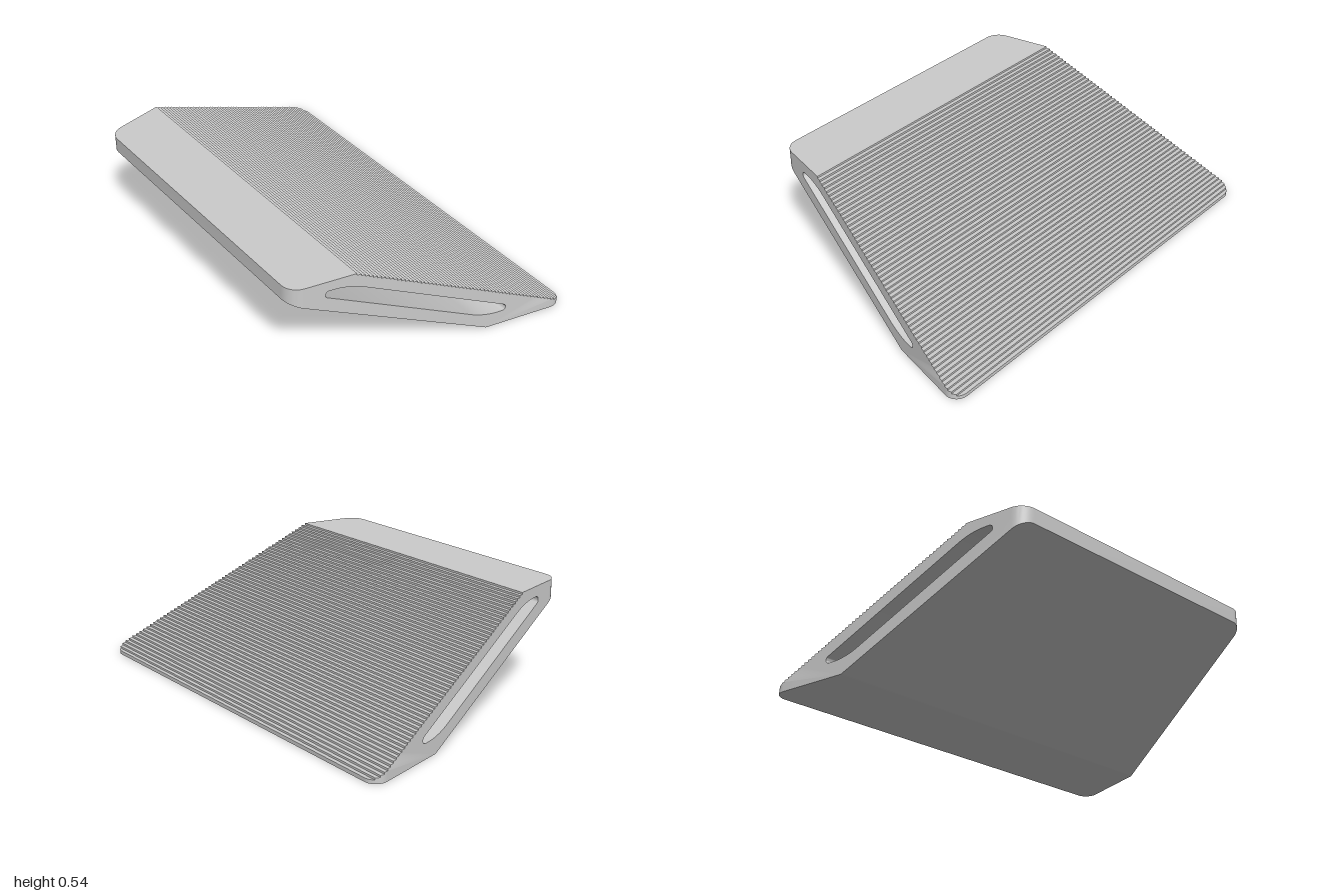
import * as THREE from 'three';
import { toCreasedNormals } from 'three/addons/utils/BufferGeometryUtils.js';

const DEPTH = 0.664, TOP = 0.54, FRONT_BOTTOM = 0.465, FOOT = -0.264; // half depth, heights, rear foot edge
const STEPS = 56, STEP_START = 0.372, LAST = 0.018;
const RUN = (STEP_START + DEPTH) / STEPS, RISE = (TOP - LAST) / STEPS;

// Plan outline: tapering sides with rounded corners
const TAPER = 0.225, WIDTH = 0.866, N = Math.hypot(1, TAPER);
const corner = (r, sign) => {
  const cz = sign * (DEPTH - r);
  return { r, sign, cz, cx: WIDTH - TAPER * cz - r * N, tangent: cz + r * TAPER / N };
};
const frontCorner = corner(0.08, 1), backCorner = corner(0.057, -1);
function halfWidth(z) {
  for (const c of [frontCorner, backCorner]) {
    if ((z - c.tangent) * c.sign > 0) return c.cx + Math.sqrt(Math.max(0, c.r ** 2 - (z - c.cz) ** 2));
  }
  return WIDTH - TAPER * z;
}
function cornerCuts(c, n = 10) {
  const start = Math.asin(TAPER / N), end = c.sign * Math.PI / 2;
  return Array.from({ length: n + 1 }, (_, i) => c.cz + c.r * Math.sin(start + (end - start) * i / n));
}

// Side profile: sloping underside and stepped top
const bottomAt = z => Math.max(0, FRONT_BOTTOM * (z - FOOT) / (DEPTH - FOOT));
const topAt = z => z > STEP_START ? TOP : TOP - RISE * (Math.floor((STEP_START - z) / RUN) + 1);

// Slot outline as (-z, y): a parallelogram with circular fillets
function slotOutline() {
  const c = [[-0.568, 0.073 + 0.417], [-0.249 + 0.498, 0.073], [0.412, 0.073], [-0.405, 0.49]];
  c[0] = [-0.568, 0.49];
  const p = c.map(([u, v]) => new THREE.Vector2(u, v));
  const points = [];
  p.forEach((v, i) => {
    const d0 = p[(i + 3) % 4].clone().sub(v).normalize();
    const d1 = p[(i + 1) % 4].clone().sub(v).normalize();
    const w = Math.sin(Math.acos(d0.dot(d1)) / 2);
    const a = v.clone().addScaledVector(d0, 0.075), b = v.clone().addScaledVector(d1, 0.075);
    for (let k = 0; k <= 12; k++) {
      const s = k / 12, ka = (1 - s) ** 2, kv = 2 * w * s * (1 - s), kb = s * s;
      points.push(a.clone().multiplyScalar(ka).addScaledVector(v, kv).addScaledVector(b, kb).divideScalar(ka + kv + kb));
    }
  });
  return points;
}

function makeMesh(name, build) {
  const pos = [];
  const tri = (...pts) => pts.forEach(p => pos.push(...p));
  const quad = (a, b, c, d) => { tri(a, b, c); tri(a, c, d); };
  build(tri, quad);
  const g = new THREE.BufferGeometry();
  g.setAttribute('position', new THREE.Float32BufferAttribute(pos, 3));
  const mesh = new THREE.Mesh(toCreasedNormals(g, 0.6), new THREE.MeshStandardMaterial({ color: 0xcccccc }));
  mesh.name = name;
  return mesh;
}

export function createModel() {
  const group = new THREE.Group();
  group.name = 'steppedRamp';

  // Columns from front to back, cut at every step, fold and corner facet
  const cuts = [...cornerCuts(frontCorner), ...cornerCuts(backCorner), FOOT];
  for (let i = 0; i < STEPS; i++) cuts.push(STEP_START - i * RUN);
  cuts.sort((a, b) => b - a);
  const zs = cuts.filter((z, i) => i === 0 || cuts[i - 1] - z > 1e-5);
  const columns = zs.slice(1).map((z1, i) => ({ z0: zs[i], z1, y: topAt((zs[i] + z1) / 2) }));
  const isMiddle = c => c.z0 < frontCorner.tangent + 1e-5 && c.z1 > backCorner.tangent - 1e-5;
  const slot = slotOutline();

  // Stepped top deck, with risers
  group.add(makeMesh('steppedTop', (tri, quad) => {
    columns.forEach(({ z0, z1, y }, i) => {
      const w0 = halfWidth(z0), w1 = halfWidth(z1);
      quad([-w0, y, z0], [w0, y, z0], [w1, y, z1], [-w1, y, z1]);
      const low = i + 1 < columns.length ? columns[i + 1].y : 0;
      if (y - low > 1e-5) quad([w1, low, z1], [-w1, low, z1], [-w1, y, z1], [w1, y, z1]);
    });
  }));

  // Sloping underside and flat foot
  group.add(makeMesh('underside', (tri, quad) => {
    for (const { z0, z1 } of columns) {
      const w0 = halfWidth(z0), w1 = halfWidth(z1), b0 = bottomAt(z0), b1 = bottomAt(z1);
      quad([-w1, b1, z1], [w1, b1, z1], [w0, b0, z0], [-w0, b0, z0]);
    }
  }));

  // Front lip, rounded corners and slotted side walls
  group.add(makeMesh('walls', (tri, quad) => {
    const w = halfWidth(DEPTH);
    quad([-w, FRONT_BOTTOM, DEPTH], [w, FRONT_BOTTOM, DEPTH], [w, TOP, DEPTH], [-w, TOP, DEPTH]);
    for (const { z0, z1, y } of columns.filter(c => !isMiddle(c))) {
      const w0 = halfWidth(z0), w1 = halfWidth(z1), b0 = bottomAt(z0), b1 = bottomAt(z1);
      quad([w0, b0, z0], [w1, b1, z1], [w1, y, z1], [w0, y, z0]);
      quad([-w0, y, z0], [-w1, y, z1], [-w1, b1, z1], [-w0, b0, z0]);
    }
    const middle = columns.filter(isMiddle);
    const zf = middle[0].z0, zb = middle[middle.length - 1].z1;
    const outline = [[zf, bottomAt(zf)], [FOOT, 0], [zb, 0]].map(([z, y]) => new THREE.Vector2(-z, y));
    for (const { z0, z1, y } of middle.reverse()) {
      for (const z of [z1, z0]) {
        const p = new THREE.Vector2(-z, y);
        if (p.distanceTo(outline[outline.length - 1]) > 1e-5) outline.push(p);
      }
    }
    const all = [...outline, ...slot];
    for (const face of THREE.ShapeUtils.triangulateShape(outline, [slot])) {
      const pts = face.map(i => all[i]);
      if (THREE.ShapeUtils.area(pts) < 0) pts.reverse();
      const side = s => pts.map(p => [s * halfWidth(-p.x), p.y, -p.x]);
      tri(...side(1));
      tri(...side(-1).reverse());
    }
  }));

  // Slot running through from side to side
  group.add(makeMesh('slotTunnel', (tri, quad) => {
    slot.forEach((p, i) => {
      const q = slot[(i + 1) % slot.length];
      const wp = halfWidth(-p.x), wq = halfWidth(-q.x);
      quad([-wp, p.y, -p.x], [wp, p.y, -p.x], [wq, q.y, -q.x], [-wq, q.y, -q.x]);
    });
  }));
  return group;
}
